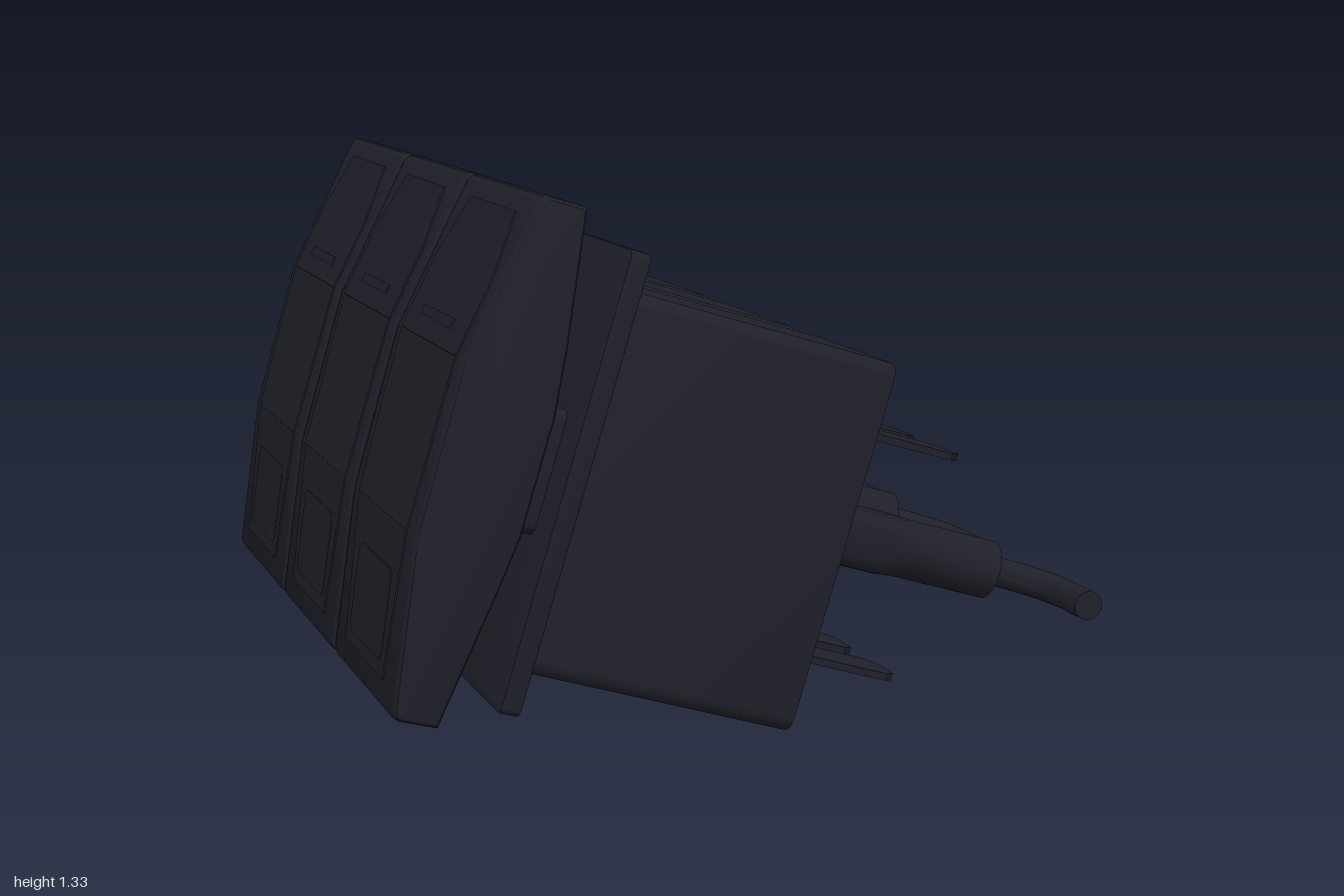
import * as THREE from 'three';
import { toCreasedNormals } from 'three/addons/utils/BufferGeometryUtils.js';

const plastic = new THREE.MeshStandardMaterial({ color: 0x20202a });
plastic.name = 'dark plastic';

const TILT = THREE.MathUtils.degToRad(-17);
const MID = 0.487; // middle height of a switch, along its panel

// Adds a named mesh to a group
function add(group, name, geometry, crease = 0.6) {
  const mesh = new THREE.Mesh(toCreasedNormals(geometry, crease), plastic);
  mesh.name = name;
  group.add(mesh);
  return mesh;
}

function polygon(points) {
  return new THREE.Shape(points.map(([x, y]) => new THREE.Vector2(x, y)));
}

function roundedRect(w, h, r) {
  const s = new THREE.Shape();
  const x = w / 2, y = h / 2;
  s.absarc(x - r, y - r, r, 0, Math.PI / 2);
  s.absarc(-x + r, y - r, r, Math.PI / 2, Math.PI);
  s.absarc(-x + r, -y + r, r, Math.PI, Math.PI * 1.5);
  s.absarc(x - r, -y + r, r, Math.PI * 1.5, Math.PI * 2);
  s.closePath();
  return s;
}

// Rounded block running along x from x0 to x1
function block(x0, x1, y0, y1, width, radius, bevel) {
  const g = new THREE.ExtrudeGeometry(roundedRect(width, y1 - y0, radius), {
    depth: x1 - x0 - 2 * bevel, curveSegments: 5, bevelEnabled: true,
    bevelThickness: bevel, bevelSize: bevel, bevelOffset: -bevel, bevelSegments: 2,
  });
  g.rotateY(Math.PI / 2);
  return g.translate(x0 + bevel, (y0 + y1) / 2, 0);
}

// Thin plate on the sloping rocker face between two profile points
function facePlate(a, b, shape, height) {
  const up = new THREE.Vector3(b[0] - a[0], b[1] - a[1], 0).normalize();
  const side = new THREE.Vector3(0, 0, 1);
  const out = new THREE.Vector3().crossVectors(side, up);
  const g = new THREE.ExtrudeGeometry(shape, { depth: height, bevelEnabled: false });
  const m = new THREE.Matrix4().makeBasis(side, up, out);
  return g.applyMatrix4(m.setPosition(a[0], a[1], 0));
}

function addRocker(unit) {
  const lowEnd = [-0.966, -0.122], lowBend = [-1.03, 0.287];
  const highBend = [-1.035, 0.703], highEnd = [-0.966, 1.096];
  const profile = polygon([
    [-0.85, -0.137], [-0.94, -0.14], [-0.957, -0.136], lowEnd, lowBend, highBend,
    highEnd, [-0.957, 1.108], [-0.945, 1.112], [-0.847, 1.112],
    [-0.80, 0.79], [-0.783, 0.63], [-0.783, 0.34], [-0.80, 0.2],
  ]);
  const g = new THREE.ExtrudeGeometry(profile, {
    depth: 0.615, bevelEnabled: true, bevelThickness: 0.02,
    bevelSize: 0.015, bevelOffset: -0.015, bevelSegments: 3,
  });
  add(unit, 'rocker', g.translate(0, 0, -0.3075), 0.5);

  // Octagonal face panel, in three flats
  const trapezoid = (y0, w0, y1, w1) => polygon([[-w0, y0], [w0, y0], [w1, y1], [-w1, y1]]);
  const upper = polygon([[-0.265, 0], [0.265, 0], [0.265, 0.2], [0.2, 0.36], [-0.2, 0.36], [-0.265, 0.2]]);
  add(unit, 'upperFacePanel', facePlate(highBend, highEnd, upper, 0.004));
  add(unit, 'middleFacePanel', facePlate(lowBend, highBend, trapezoid(0, 0.25, 0.416, 0.265), 0.004));
  add(unit, 'lowerFacePanel', facePlate(lowEnd, lowBend, trapezoid(0.05, 0.2, 0.414, 0.25), 0.004));

  // Indicator windows
  const lens = new THREE.ExtrudeGeometry(roundedRect(0.34, 0.22, 0.03), { depth: 0.008, bevelEnabled: false });
  const slope = Math.atan2(lowBend[0] - lowEnd[0], lowBend[1] - lowEnd[1]);
  lens.rotateY(-Math.PI / 2).rotateZ(-slope);
  add(unit, 'lowerLens', lens.translate(-0.993, 0.07, 0));
  const bar = polygon([[-0.14, 0.05], [0.14, 0.05], [0.14, 0.075], [-0.14, 0.075]]);
  add(unit, 'upperLens', facePlate(highBend, highEnd, bar, 0.008));
}

// Boot with a broad, squarish root that tapers to a round sleeve
function plugBoot() {
  const g = new THREE.CylinderGeometry(0.077, 0.077, 1, 24, 3);
  g.rotateZ(-Math.PI / 2);
  const p = g.attributes.position;
  const stations = [0.02, 0.29, 0.375, 0.635];
  for (let i = 0; i < p.count; i++) {
    const k = Math.round((p.getX(i) + 0.5) * 3);
    let y = p.getY(i), z = p.getZ(i);
    const r = Math.hypot(y, z);
    if (k < 2 && r > 0.01) {
      const square = (c) => Math.sign(c) * Math.sqrt(Math.abs(c));
      y = 0.077 * square(y / r);
      z = 0.116 * square(z / r);
    }
    p.setXYZ(i, stations[k], y, z);
  }
  return g;
}

function addPlug(unit) {
  const plug = new THREE.Group();
  plug.name = 'plug';
  plug.position.set(0, 0.484, -0.14);
  add(plug, 'plugBoot', plugBoot(), 0.7);

  // Bent cable with closed end
  const path = new THREE.CatmullRomCurve3([
    [0.6, 0], [0.68, 0], [0.735, 0.012], [0.785, 0.05], [0.808, 0.11], [0.808, 0.17], [0.808, 0.26],
  ].map(([x, z]) => new THREE.Vector3(x, 0, z)));
  add(plug, 'cable', new THREE.TubeGeometry(path, 28, 0.039, 14, false), 0.8);
  add(plug, 'cableEnd', new THREE.CircleGeometry(0.039, 14).translate(0.808, 0, 0.26));
  unit.add(plug);
}

function addBlades(unit) {
  const outline = polygon([
    [0, -0.08], [0.265, -0.08], [0.293, -0.052], [0.293, 0.052], [0.265, 0.08], [0, 0.08],
  ]);
  for (const y of [0.769, 0.2]) {
    for (const z of [-0.135, 0.135]) {
      const g = new THREE.ExtrudeGeometry(outline, { depth: 0.018, bevelEnabled: false });
      g.rotateX(-Math.PI / 2);
      add(unit, 'terminalBlade', g.translate(0, y - 0.009, z));
    }
  }
}

function createSwitch() {
  const unit = new THREE.Group();
  unit.name = 'rockerSwitch';
  add(unit, 'body', block(-0.68, 0.035, 0.02, 0.953, 0.535, 0.04, 0.006));
  add(unit, 'flange', block(-0.717, -0.665, -0.073, 1.047, 0.64, 0.02, 0.006));
  addRocker(unit);

  // Pivot boss and the two contact posts behind the rocker
  add(unit, 'pivotBoss', block(-0.8, -0.71, 0.333, 0.64, 0.4, 0.03, 0.004));
  for (const s of [-1, 1]) {
    const post = new THREE.CylinderGeometry(0.06, 0.06, 0.13, 20).rotateZ(Math.PI / 2);
    add(unit, 'post', post.translate(-0.77, MID + s * 0.258, 0));
  }
  addBlades(unit);
  addPlug(unit);
  return unit;
}

export function createModel() {
  const model = new THREE.Group();
  model.name = 'switchPanel';
  for (const z of [-0.672, -0.002, 0.668]) {
    const unit = createSwitch();
    unit.rotation.z = TILT;
    unit.position.z = z;
    model.add(unit);
  }
  return model;
}
